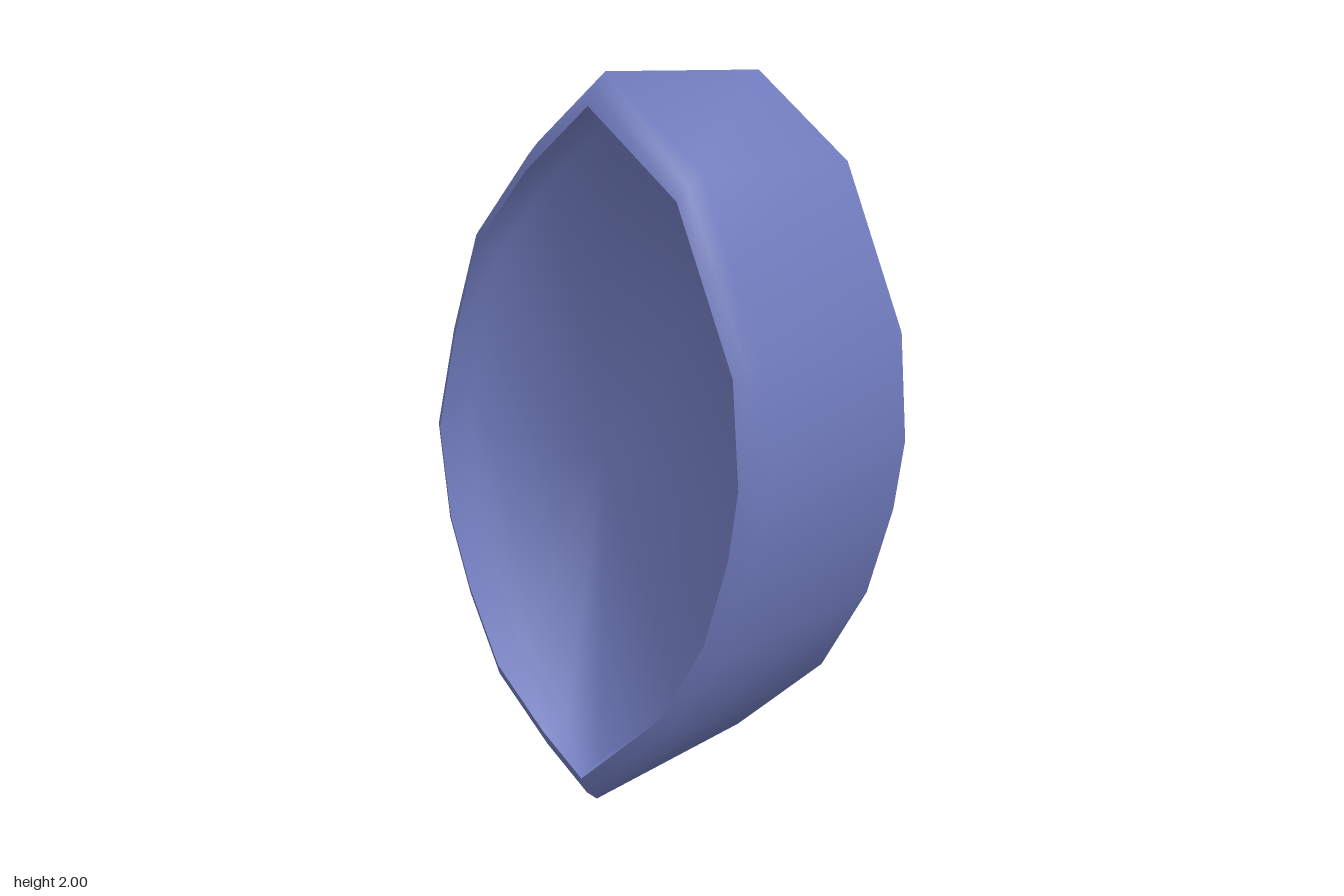
import * as THREE from 'three';
import { toCreasedNormals } from 'three/addons/utils/BufferGeometryUtils.js';

// Pointed-oval outline of the closed end as [z, y], clockwise from the top point
const OUTLINE = [
  [-0.15, 1.95], [-0.34, 1.76], [-0.50, 1.53], [-0.57, 1.26], [-0.62, 0.98], [-0.58, 0.71],
  [-0.51, 0.50], [-0.41, 0.28], [-0.25, 0.11], [-0.12, 0.0], [0.13, 0.26], [0.25, 0.51],
  [0.31, 0.77], [0.33, 0.97], [0.30, 1.27], [0.20, 1.52], [0.12, 1.72],
];
const onEndPlane = ([z, y]) => new THREE.Vector3(0.37 + 0.04 * y + 0.455 * z, y, z);
const END = OUTLINE.map(onEndPlane);
const CENTRE = onEndPlane([-0.14, 0.97]);
const SWEEP = new THREE.Vector3(-0.65, 0.05, 0.29); // closed end to open end
const LENGTH = SWEEP.length();
const AXIS = SWEEP.clone().normalize();

// Cross-section: outline scaled about its centre, then moved along the axis
function ring(scale, distance) {
  return END.map((p) => CENTRE.clone().lerp(p, scale).addScaledVector(AXIS, distance));
}

// Skin a list of cross-sections; a ring of scale 0 closes the surface in a fan
function loft(sections) {
  const rings = sections.map(([s, d]) => ring(s, d));
  const positions = [];
  const add = (...pts) => pts.forEach((p) => positions.push(p.x, p.y, p.z));
  for (let r = 0; r < rings.length - 1; r++) {
    const a = rings[r], b = rings[r + 1];
    for (let i = 0; i < END.length; i++) {
      const j = (i + 1) % END.length;
      if (sections[r][0] > 0) add(a[i], a[j], b[i]);
      if (sections[r + 1][0] > 0) add(a[j], b[j], b[i]);
    }
  }
  const geometry = new THREE.BufferGeometry();
  geometry.setAttribute('position', new THREE.Float32BufferAttribute(positions, 3));
  return toCreasedNormals(geometry, 1.48);
}

export function createModel() {
  const group = new THREE.Group();
  group.name = 'pointedOvalCup';
  const material = new THREE.MeshStandardMaterial({ color: 0x707bbd });
  const addPart = (name, sections) => {
    const mesh = new THREE.Mesh(loft(sections), material);
    mesh.name = name;
    group.add(mesh);
  };

  // Flat closed end
  addPart('closedEnd', [[0, 0], [1, 0]]);

  // Straight wall and rounded outer rim
  addPart('outerWall', [
    [1, 0], [1, LENGTH], [0.965, LENGTH + 0.045], [0.915, LENGTH + 0.07],
  ]);

  // Short inner wall and flat floor inside the open end
  addPart('recess', [
    [0.915, LENGTH + 0.07], [0.88, LENGTH - 0.02], [0, LENGTH - 0.02],
  ]);

  return group;
}
